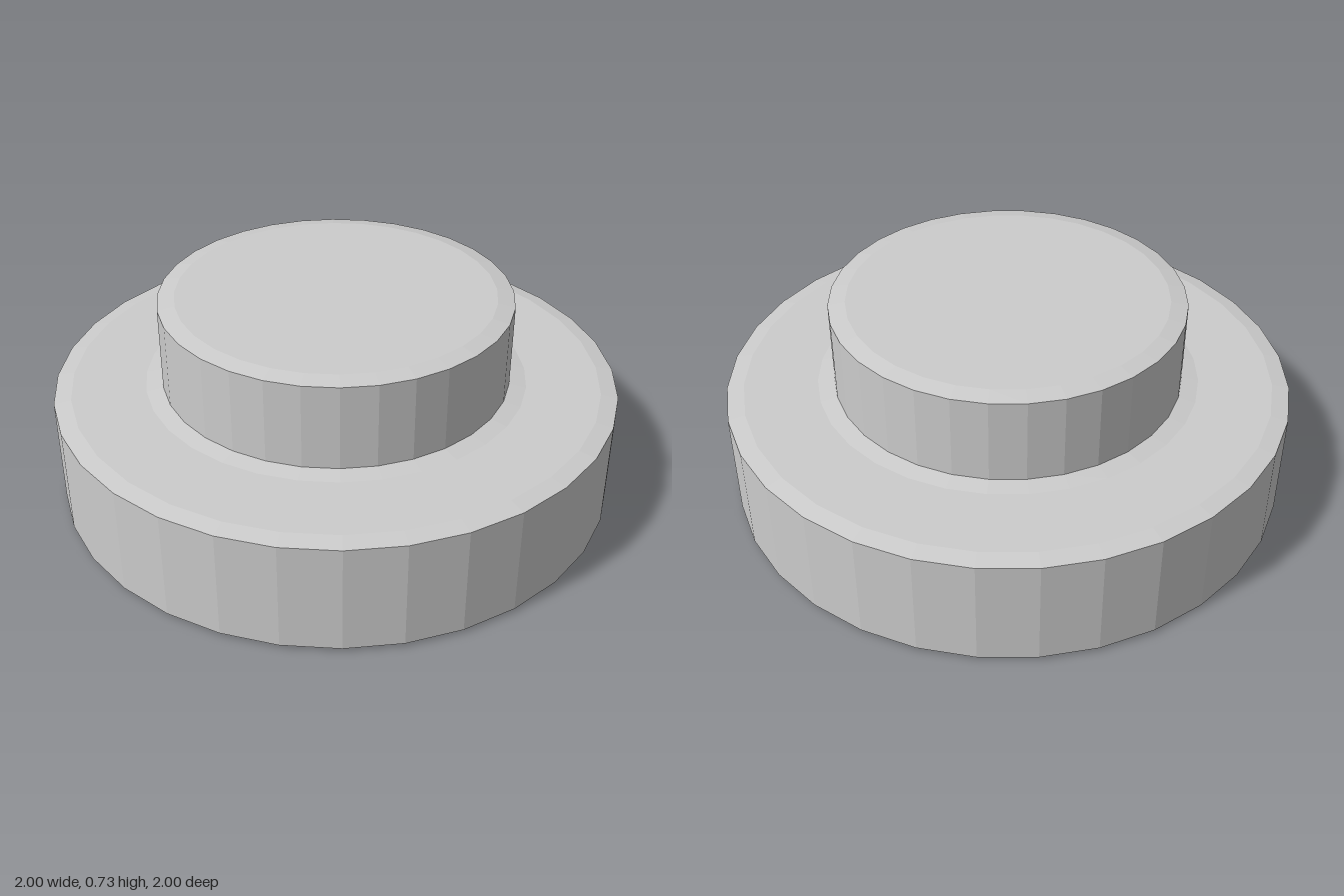
import * as THREE from 'three';

export function createModel() {
  const group = new THREE.Group();
  const material = new THREE.MeshStandardMaterial({ color: 0xcccccc, flatShading: true });

  // Radius and height pairs, from the centre of the underside to the centre of the top
  const profile = [
    [0, 0], [0.94, 0], [1, 0.012],               // underside and lower bevel
    [1, 0.4], [0.94, 0.41],                      // base wall and upper bevel
    [0.68, 0.41], [0.62, 0.42],                  // shoulder and fillet under the boss
    [0.62, 0.722], [0.56, 0.733], [0, 0.733],    // boss wall, bevel and top
  ].map(([r, y]) => new THREE.Vector2(r, y));

  // Stepped disc turned in one piece: wide base with a raised boss
  const disc = new THREE.Mesh(new THREE.LatheGeometry(profile, 32), material);
  disc.name = 'steppedDisc';
  group.add(disc);

  return group;
}
